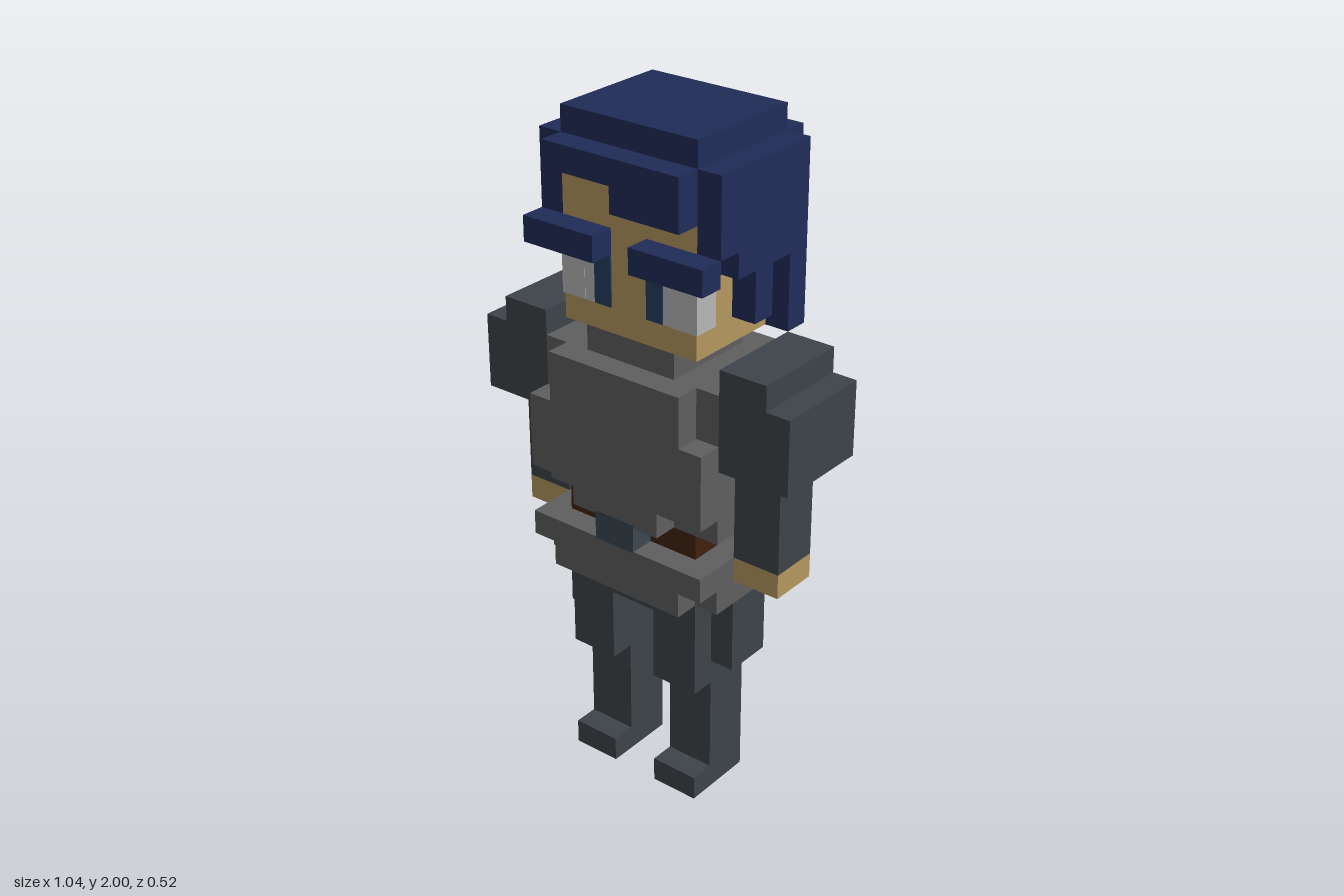
import * as THREE from 'three';

const U = 2 / 27; // one block

const material = (name, color) => {
  const m = new THREE.MeshStandardMaterial({ color });
  m.name = name;
  return m;
};

export function createModel() {
  const skin = material('skin', 0xb6985f);
  const hair = material('navyHair', 0x212c59);
  const mail = material('greyArmor', 0x5f5f5f);
  const steel = material('darkSteel', 0x3e444a);
  const leather = material('brownLeather', 0x40220d);
  const buckleMat = material('buckleMetal', 0x3c4850);
  const white = material('eyeWhite', 0xb8b8b8);
  const iris = material('blueIris', 0x223d5e);

  const model = new THREE.Group();
  model.name = 'knight';
  const part = (name) => {
    const g = new THREE.Group();
    g.name = name;
    model.add(g);
    return g;
  };
  // Box from block coordinates
  const box = (parent, name, mat, x0, x1, y0, y1, z0, z1) => {
    const geo = new THREE.BoxGeometry((x1 - x0) * U, (y1 - y0) * U, (z1 - z0) * U);
    const mesh = new THREE.Mesh(geo, mat);
    mesh.position.set((x0 + x1) / 2 * U, (y0 + y1) / 2 * U, (z0 + z1) / 2 * U);
    mesh.name = name;
    parent.add(mesh);
  };
  // The same box on both sides
  const pair = (parent, name, mat, x0, x1, ...rest) => {
    box(parent, name + 'Left', mat, x0, x1, ...rest);
    box(parent, name + 'Right', mat, -x1, -x0, ...rest);
  };

  // Legs
  const legs = part('legs');
  pair(legs, 'leg', steel, 1, 3, 0, 9, -0.5, 1.5);
  pair(legs, 'toe', steel, 1, 3, 0, 1, 1.5, 2.5);
  pair(legs, 'thighFront', steel, 1, 3, 5, 9, 1.5, 2.5);
  pair(legs, 'thighBack', steel, 1, 3, 6, 9, -1.5, -0.5);
  pair(legs, 'hipGuard', steel, 3, 4, 6, 9, -0.5, 1.5);
  box(legs, 'pelvis', steel, -1, 1, 8, 9, -1.5, 2.5);

  // Armoured skirt
  const skirt = part('skirt');
  box(skirt, 'skirtUpper', mail, -4, 4, 10, 11, -2.5, 3.5);
  box(skirt, 'skirtLower', mail, -3, 3, 9, 10, -1.5, 3.5);
  pair(skirt, 'skirtSide', mail, 3, 4, 9, 10, -0.5, 2.5);
  pair(skirt, 'skirtBackCorner', mail, 3, 4, 9, 10, -2.5, -1.5);

  // Belt
  const belt = part('belt');
  box(belt, 'strap', leather, -3, 3, 11, 12, -1.5, 2.5);
  box(belt, 'buckle', buckleMat, -0.9, 0.9, 10.95, 12.15, 2.5, 3.52);

  // Breastplate with cut corners
  const torso = part('torso');
  box(torso, 'chest', mail, -4, 4, 12, 18, -1.5, 2.5);
  box(torso, 'frontPlateTop', mail, -3, 3, 16, 18, 2.5, 3.5);
  box(torso, 'frontPlateMiddle', mail, -4, 4, 13, 16, 2.5, 3.5);
  box(torso, 'frontPlateBottom', mail, -2, 2, 12, 13, 2.5, 3.5);
  box(torso, 'backPlate', mail, -4, 4, 12, 17, -2.5, -1.5);
  box(torso, 'backPlateTop', mail, -3, 3, 17, 18, -2.5, -1.5);
  box(torso, 'collar', mail, -2, 2, 18, 19, -1.5, 2.5);

  // Arms
  const arms = part('arms');
  pair(arms, 'hand', skin, 4, 6, 10, 11, -0.5, 1.5);
  pair(arms, 'sleeve', steel, 4, 6, 11, 15, -0.5, 1.5);
  pair(arms, 'shoulderGuard', steel, 4, 6, 15, 19, -1.5, 2.5);
  pair(arms, 'shoulderGuardOuter', steel, 6, 7, 15, 18, -1.5, 2.5);

  // Head and eyes
  const head = part('head');
  box(head, 'face', skin, -3, 3, 19, 25, -2.5, 2.5);
  const t = 0.06;
  pair(head, 'eyeWhite', white, 2, 3 + t, 20, 22, 2.5, 2.5 + t);
  pair(head, 'eyeWhiteSide', white, 3, 3 + t, 20, 22, 1.5, 2.5);
  pair(head, 'iris', iris, 0.8, 1.5, 20, 22, 2.5, 2.5 + t);
  pair(head, 'eyeWhiteInner', white, 1.5, 2, 20, 22, 2.5, 2.5 + t * 0.8);
  pair(head, 'irisOuter', iris, 1.4, 1.55, 20, 22, 2.5, 2.5 + t);

  // Hair
  const hairdo = part('hair');
  box(hairdo, 'crown', hair, -3, 3, 25, 27, -2.5, 2.5);
  box(hairdo, 'backHair', hair, -3, 3, 20, 26, -3.5, -2.5);
  box(hairdo, 'fringe', hair, -3, 3, 25, 26, 2.5, 3.5);
  box(hairdo, 'fringeSweep', hair, 0, 3, 24, 25, 2.5, 3.5);
  pair(hairdo, 'eyebrow', hair, 0.8, 4, 22, 23, 2.5, 3.5);
  pair(hairdo, 'sideHair', hair, 3, 4, 23, 26, -2.5, 2.5);
  pair(hairdo, 'sideHairLower', hair, 3, 4, 22, 23, -2.5, 1.5);
  pair(hairdo, 'sideburn', hair, 3, 4, 20, 22, -0.5, 0.5);
  pair(hairdo, 'sideHairBack', hair, 3, 4, 19, 22, -2.5, -1.5);

  return model;
}
